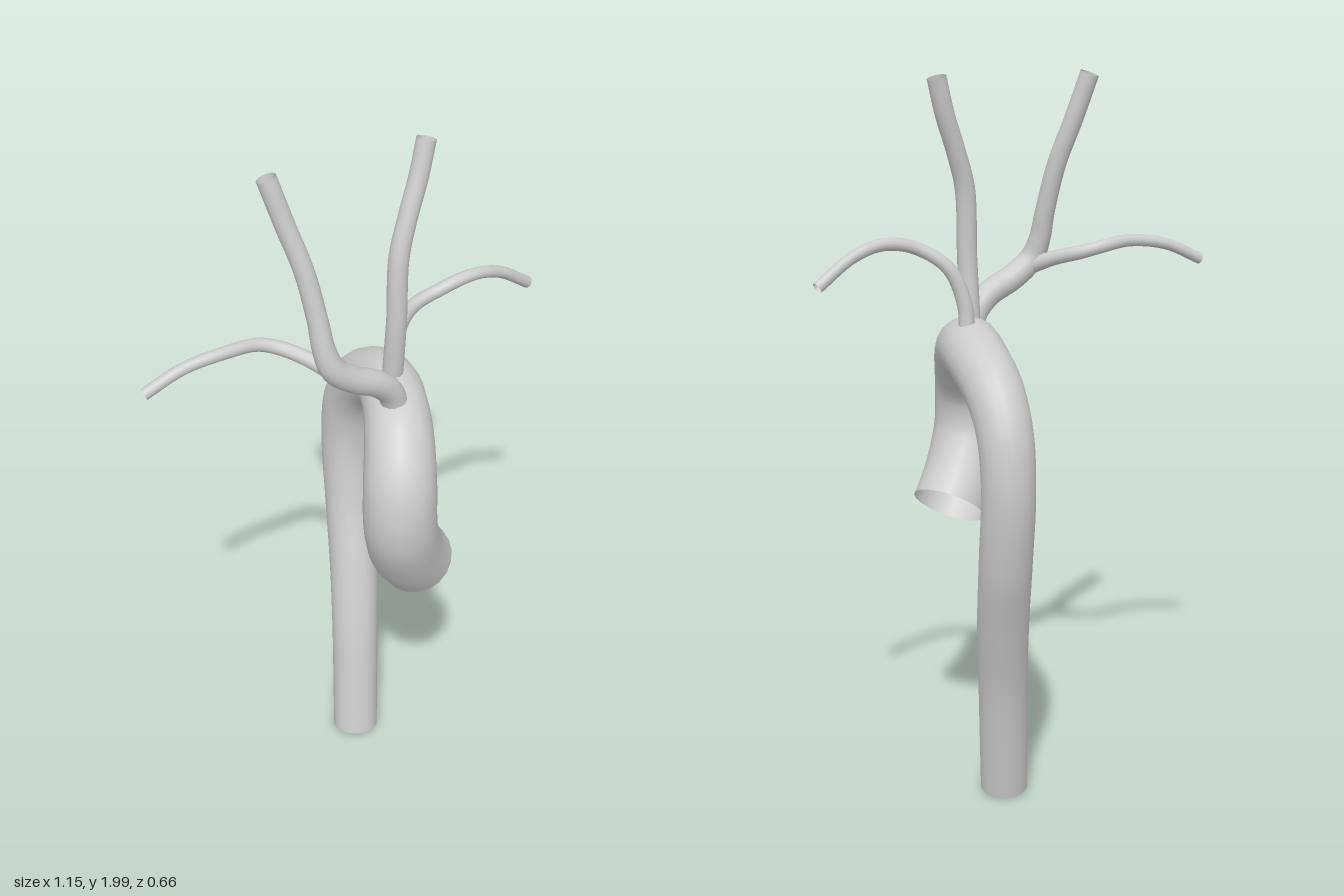
import * as THREE from 'three';

// Open tube through [x, y, z, radius] stations with a smoothly varying radius
function vessel(name, stations, segments, sides, material) {
  const curve = new THREE.CatmullRomCurve3(stations.map(([x, y, z]) => new THREE.Vector3(x, y, z)));
  const geometry = new THREE.TubeGeometry(curve, segments, 1, sides, false);
  const pos = geometry.attributes.position;
  const v = new THREE.Vector3();
  for (let i = 0; i <= segments; i++) {
    const u = i / segments;
    const centre = curve.getPointAt(u);
    const f = curve.getUtoTmapping(u) * (stations.length - 1);
    const k = Math.min(Math.floor(f), stations.length - 2);
    const radius = THREE.MathUtils.lerp(stations[k][3], stations[k + 1][3], f - k);
    for (let j = 0; j <= sides; j++) {
      const n = i * (sides + 1) + j;
      v.fromBufferAttribute(pos, n).sub(centre).multiplyScalar(radius).add(centre);
      pos.setXYZ(n, v.x, v.y, v.z);
    }
  }
  const mesh = new THREE.Mesh(geometry, material);
  mesh.name = name;
  return mesh;
}

export function createModel() {
  const group = new THREE.Group();
  group.name = 'aorticArch';
  const grey = new THREE.MeshStandardMaterial({ color: 0xcccccc, side: THREE.DoubleSide });
  grey.name = 'light grey';

  // Main vessel: root, ascending part, arch, descending part
  group.add(vessel('aorta', [
    [0.137, 0.80, 0.155, 0.104],
    [0.085, 0.88, 0.192, 0.104],
    [0.042, 1.00, 0.230, 0.099],
    [0.043, 1.12, 0.222, 0.098],
    [0.075, 1.215, 0.160, 0.093],
    [0.110, 1.262, 0.080, 0.088],
    [0.135, 1.275, 0.000, 0.085],
    [0.147, 1.255, -0.085, 0.082],
    [0.146, 1.20, -0.170, 0.079],
    [0.145, 1.10, -0.235, 0.075],
    [0.145, 0.95, -0.257, 0.072],
    [0.140, 0.75, -0.228, 0.072],
    [0.120, 0.55, -0.167, 0.071],
    [0.095, 0.35, -0.112, 0.068],
    [0.065, 0.02, -0.053, 0.066],
  ], 90, 20, grey));

  // Right-hand trunk continuing into the neck vessel
  group.add(vessel('trunkAndRightNeckVessel', [
    [0.085, 1.30, 0.120, 0.036],
    [0.065, 1.355, 0.125, 0.036],
    [0.020, 1.400, 0.132, 0.036],
    [-0.050, 1.437, 0.136, 0.036],
    [-0.108, 1.485, 0.135, 0.035],
    [-0.127, 1.54, 0.123, 0.030],
    [-0.135, 1.62, 0.105, 0.027],
    [-0.155, 1.75, 0.075, 0.026],
    [-0.188, 1.87, 0.042, 0.026],
    [-0.222, 1.993, 0.015, 0.026],
  ], 50, 14, grey));

  group.add(vessel('rightArmVessel', [
    [-0.100, 1.465, 0.130, 0.022],
    [-0.150, 1.495, 0.070, 0.020],
    [-0.200, 1.513, 0.020, 0.019],
    [-0.250, 1.527, 0.000, 0.018],
    [-0.350, 1.538, -0.003 + 0.013, 0.017],
    [-0.460, 1.522, 0.003, 0.016],
    [-0.565, 1.475, -0.005, 0.016],
  ], 36, 12, grey));

  group.add(vessel('leftNeckVessel', [
    [0.118, 1.30, 0.040, 0.028],
    [0.118, 1.40, 0.050, 0.028],
    [0.120, 1.52, 0.057, 0.027],
    [0.128, 1.70, 0.050, 0.027],
    [0.158, 1.80, 0.038, 0.026],
    [0.195, 1.90, 0.025, 0.026],
    [0.220, 1.993, 0.016, 0.026],
  ], 40, 14, grey));

  group.add(vessel('leftArmVessel', [
    [0.158, 1.30, -0.025, 0.022],
    [0.160, 1.40, -0.018, 0.021],
    [0.200, 1.50, -0.005, 0.019],
    [0.280, 1.555, 0.025, 0.018],
    [0.370, 1.570, 0.026, 0.017],
    [0.460, 1.545, 0.012, 0.016],
    [0.565, 1.475, -0.005, 0.016],
  ], 40, 12, grey));

  return group;
}
